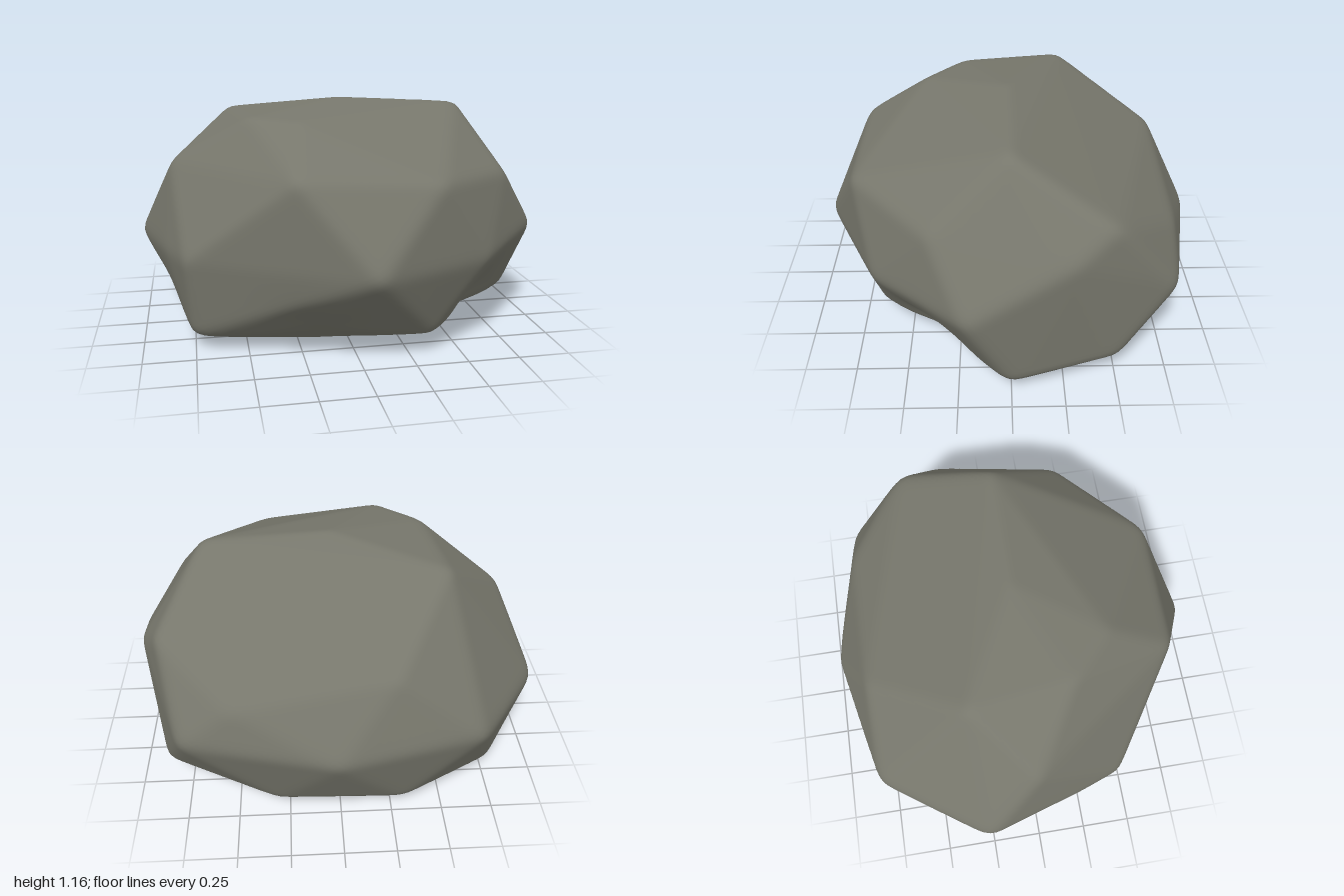
import * as THREE from 'three';
import { mergeVertices } from 'three/addons/utils/BufferGeometryUtils.js';
import { ConvexGeometry } from 'three/addons/geometries/ConvexGeometry.js';

const CENTRE = new THREE.Vector3(0, 0.55, 0);

// Main corners of the boulder, from the crown down to the flat base
const CORNERS = [
  [0.02, 1.167, 0], [0.64, 1.135, 0], [-0.53, 1.1, -0.28], [-0.46, 1.095, 0.23], [-0.25, 1.09, 0.42],
  [-0.3, 0.88, 0.74], [0.36, 0.85, 0.75], [0.79, 0.82, 0.37], [0.84, 0.89, -0.46], [0.94, 0.76, -0.27],
  [-0.84, 0.86, 0], [-0.25, 0.83, -0.75], [0.5, 0.7, -0.77],
  [0.03, 0.47, 0.935], [0.62, 0.46, 0.65], [1.02, 0.5, 0.21], [0.75, 0.5, -0.77], [0.02, 0.48, -0.93],
  [-0.67, 0.5, -0.78], [-1.02, 0.45, -0.27], [-0.88, 0.45, 0.19], [-0.79, 0.46, 0.44],
  [0.35, 0.11, 0.65], [-0.2, 0.15, 0.6], [-0.76, 0.07, 0.39], [0.96, 0.1, 0], [0.86, 0.16, -0.49],
  [0.3, 0.09, -0.73], [-0.3, 0.09, -0.75], [-0.78, 0.06, -0.47],
  [-0.55, 0, 0], [-0.2, 0, 0.35], [0.3, 0, 0.35], [0.45, 0, 0], [0.3, 0, -0.39], [-0.35, 0, -0.39],
].map(c => new THREE.Vector3(...c).sub(CENTRE));

// Shallow hollows along the lower rim: direction, depth, width
const HOLLOWS = [
  [new THREE.Vector3(0.66, -0.38, 0.36).normalize(), 0.05, 0.24],
  [new THREE.Vector3(-0.8, -0.44, -0.05).normalize(), 0.05, 0.24],
  [new THREE.Vector3(-0.2, -0.42, 0.58).normalize(), 0.03, 0.24],
];

// Facet planes, each stored as its normal divided by its distance from the centre
function facetPlanes() {
  const p = new ConvexGeometry(CORNERS).attributes.position;
  const planes = [];
  const tri = new THREE.Triangle(), plane = new THREE.Plane();
  for (let i = 0; i < p.count; i += 3) {
    tri.setFromAttributeAndIndices(p, i, i + 1, i + 2);
    if (tri.getArea() < 1e-6) continue;
    tri.getPlane(plane);
    planes.push(plane.normal.clone().divideScalar(-plane.constant));
  }
  return planes;
}

// Icosahedron sphere with shared corners
function sphere(radius, detail) {
  const geo = new THREE.IcosahedronGeometry(radius, detail);
  geo.deleteAttribute('uv');
  geo.deleteAttribute('normal');
  return mergeVertices(geo, 1e-4);
}

export function createModel() {
  const planes = facetPlanes();
  const reach = v => planes.reduce((m, n) => Math.max(m, n.dot(v)), 0);

  // Small offsets averaged around each direction to round the edges
  const offsets = [new THREE.Vector3()];
  for (const r of [0.03, 0.06]) {
    const ring = sphere(r, 0).attributes.position;
    for (let i = 0; i < ring.count; i++) offsets.push(new THREE.Vector3().fromBufferAttribute(ring, i));
  }

  // Push a fine sphere out to the rounded facets, then press in the hollows
  const geo = sphere(1, 40);
  const pos = geo.attributes.position;
  const dir = new THREE.Vector3(), probe = new THREE.Vector3();
  for (let i = 0; i < pos.count; i++) {
    dir.fromBufferAttribute(pos, i).normalize();
    let sum = 0;
    for (const o of offsets) sum += reach(probe.copy(dir).add(o));
    let radius = offsets.length / sum;
    for (const [d, depth, width] of HOLLOWS) {
      radius -= depth * Math.exp(-dir.distanceToSquared(d) / (width * width));
    }
    dir.multiplyScalar(radius).add(CENTRE);
    pos.setXYZ(i, dir.x, dir.y, dir.z);
  }
  geo.computeVertexNormals();

  const boulder = new THREE.Mesh(geo, new THREE.MeshStandardMaterial({ color: 0x77776c }));
  boulder.name = 'boulder';
  const group = new THREE.Group();
  group.name = 'rock';
  group.add(boulder);
  return group;
}
